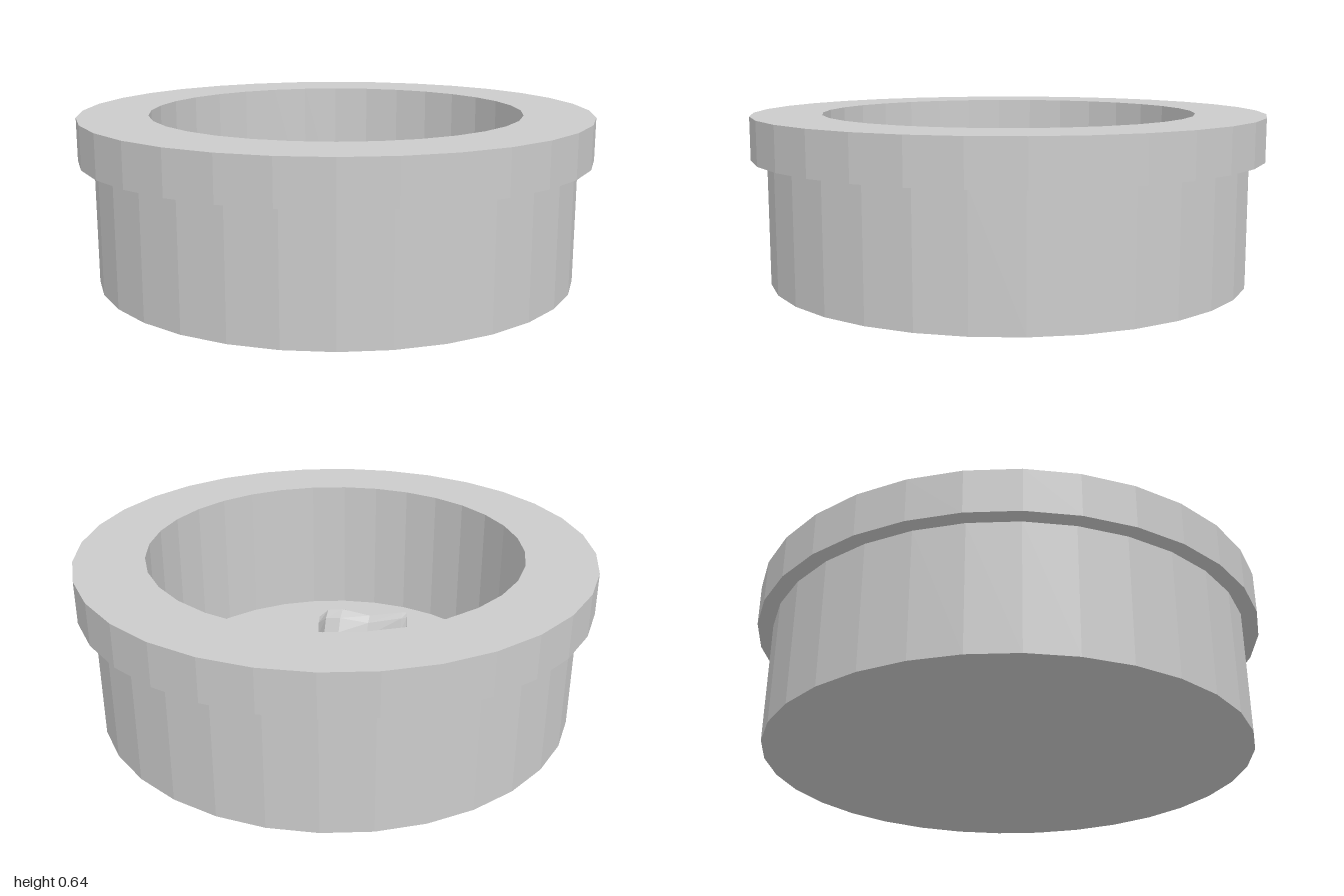
import * as THREE from 'three';

const FLOOR = 0.08;

// Faceted body swept along x through stations [x, halfWidth, topHeight]
function loftAlongX(stations) {
  const section = (x, w, top) => [
    [x, FLOOR, -w], [x, top - 0.07, -w], [x, top - 0.02, -0.6 * w],
    [x, top, 0],
    [x, top - 0.02, 0.6 * w], [x, top - 0.07, w], [x, FLOOR, w],
  ];
  const rings = stations.map((s) => section(...s));
  const n = rings[0].length;
  const index = [];
  for (let i = 0; i < rings.length - 1; i++) {
    for (let j = 0; j < n - 1; j++) {
      const a = i * n + j, b = a + n;
      index.push(a, a + 1, b, b, a + 1, b + 1);
    }
  }
  // End caps
  const last = (rings.length - 1) * n;
  for (let j = 1; j < n - 1; j++) {
    index.push(0, j + 1, j, last, last + j, last + j + 1);
  }
  const geometry = new THREE.BufferGeometry();
  geometry.setAttribute('position', new THREE.Float32BufferAttribute(rings.flat(2), 3));
  geometry.setIndex(index);
  geometry.computeVertexNormals();
  return geometry;
}

export function createModel() {
  const group = new THREE.Group();
  const material = new THREE.MeshStandardMaterial({ color: 0xcccccc, flatShading: true });

  // Round basin: wall, overhanging rim, hollow and floor in one profile
  const profile = [
    [0, 0], [0.94, 0], [0.94, 0.48], [1, 0.48], [1, 0.645],
    [0.73, 0.645], [0.73, FLOOR], [0, FLOOR],
  ].map(([r, y]) => new THREE.Vector2(r, y));
  const basin = new THREE.Mesh(new THREE.LatheGeometry(profile, 32), material);
  basin.name = 'basin';
  group.add(basin);

  // Teardrop-shaped centrepiece with a rounded head and a narrow raised tail
  const centrepiece = new THREE.Mesh(loftAlongX([
    [-0.29, 0.01, 0.4],
    [-0.27, 0.022, 0.4],
    [-0.14, 0.045, 0.37],
    [-0.03, 0.068, 0.385],
    [0.03, 0.06, 0.375],
    [0.066, 0.025, 0.34],
  ]), material);
  centrepiece.name = 'centrepiece';
  group.add(centrepiece);

  return group;
}
